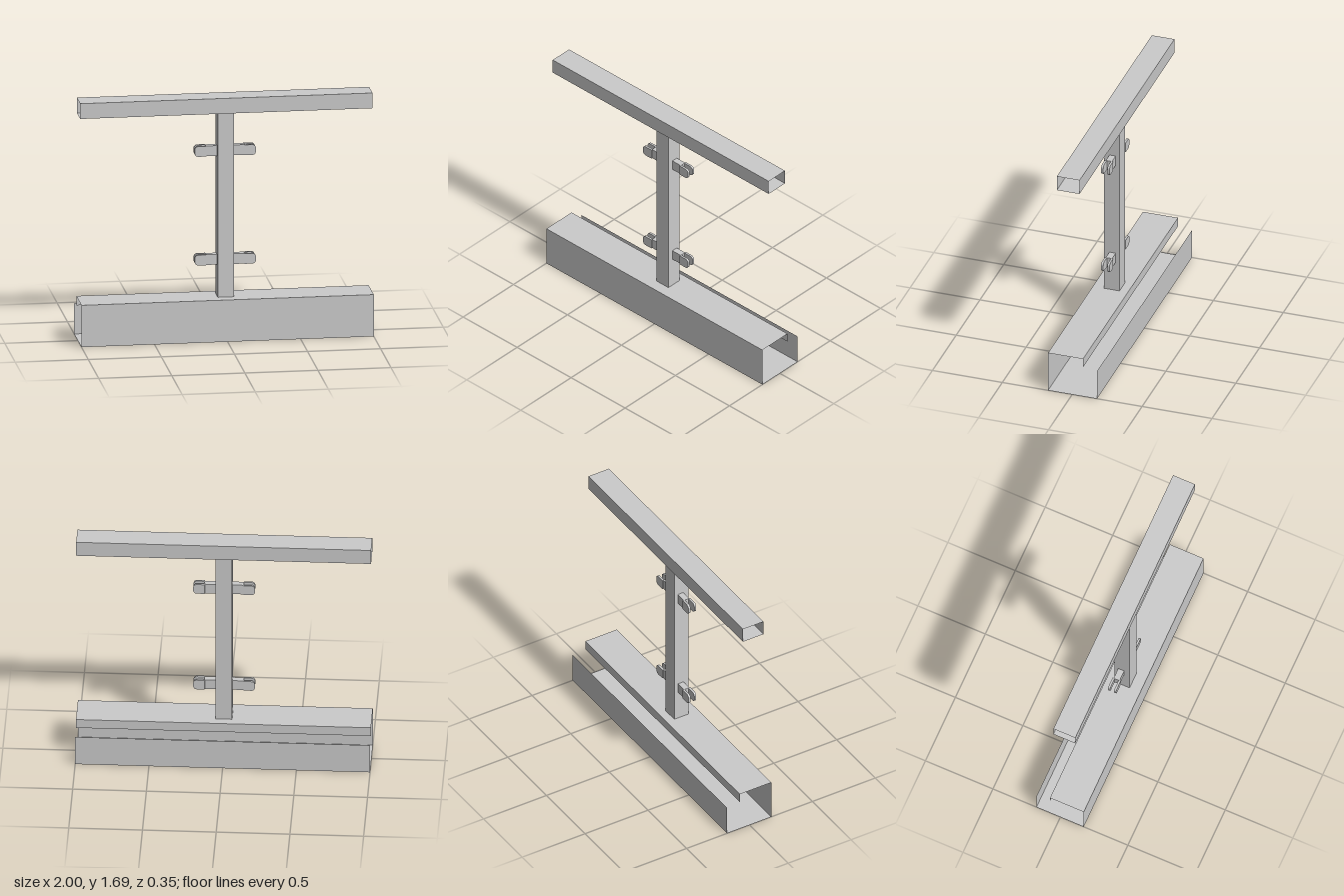
import * as THREE from 'three';

const metal = new THREE.MeshStandardMaterial({ color: 0xcccccc, flatShading: true });
const sheet = new THREE.MeshStandardMaterial({ color: 0xcccccc, flatShading: true, side: THREE.DoubleSide });

// Thin sheet-metal profile: a [z, y] section swept from x = -1 to x = 1
function sheetProfile(name, section) {
  const positions = [];
  for (let i = 0; i < section.length - 1; i++) {
    const [z0, y0] = section[i];
    const [z1, y1] = section[i + 1];
    positions.push(-1, y0, z0, 1, y0, z0, 1, y1, z1);
    positions.push(-1, y0, z0, 1, y1, z1, -1, y1, z1);
  }
  const geometry = new THREE.BufferGeometry();
  geometry.setAttribute('position', new THREE.Float32BufferAttribute(positions, 3));
  geometry.computeVertexNormals();
  const mesh = new THREE.Mesh(geometry, sheet);
  mesh.name = name;
  return mesh;
}

// Box given by its minimum and maximum corners
function box(name, [x0, y0, z0], [x1, y1, z1]) {
  const mesh = new THREE.Mesh(new THREE.BoxGeometry(x1 - x0, y1 - y0, z1 - z0), metal);
  mesh.position.set((x0 + x1) / 2, (y0 + y1) / 2, (z0 + z1) / 2);
  mesh.name = name;
  return mesh;
}

// Jaw plate: square at the base, rounded at the two outer corners
function jawGeometry(length, height, thickness, r) {
  const h = height / 2;
  const shape = new THREE.Shape();
  shape.moveTo(0, -h);
  shape.lineTo(length - r, -h);
  shape.absarc(length - r, -h + r, r, -Math.PI / 2, 0);
  shape.lineTo(length, h - r);
  shape.absarc(length - r, h - r, r, 0, Math.PI / 2);
  shape.lineTo(0, h);
  shape.closePath();
  return new THREE.ExtrudeGeometry(shape, { depth: thickness, bevelEnabled: false, curveSegments: 6 });
}

// Panel clamp pointing along +x: a base block and two jaws with a slot between them
function clamp() {
  const group = new THREE.Group();
  group.name = 'panelClamp';
  group.add(box('clampBase', [0.05, -0.036, -0.022], [0.133, 0.036, 0.022]));
  const geometry = jawGeometry(0.078, 0.072, 0.015, 0.024);
  for (const [name, z] of [['frontJaw', 0.015], ['backJaw', -0.03]]) {
    const jaw = new THREE.Mesh(geometry, metal);
    jaw.position.set(0.131, 0, z);
    jaw.name = name;
    group.add(jaw);
  }
  return group;
}

export function createModel() {
  const model = new THREE.Group();
  model.name = 'railingSection';

  // Closed hollow handrail
  model.add(sheetProfile('handrail', [
    [0.11, 1.583], [0.11, 1.69], [-0.052, 1.69], [-0.052, 1.583], [0.11, 1.583],
  ]));

  // Base channel with an open slot at the upper back and a hanging lip
  model.add(sheetProfile('baseChannel', [
    [-0.177, 0.215], [-0.177, 0], [0.173, 0], [0.173, 0.293], [-0.077, 0.293], [-0.077, 0.227],
  ]));

  // Post with its back cover strip
  model.add(box('post', [-0.056, 0.264, 0], [0.056, 1.62, 0.094]));
  model.add(box('postCover', [-0.056, 0.264, -0.018], [0.056, 1.62, 0]));

  // Two clamps on each side of the post
  for (const y of [0.548, 1.31]) {
    for (const turn of [0, Math.PI]) {
      const part = clamp();
      part.position.set(0, y, 0.032);
      part.rotation.y = turn;
      model.add(part);
    }
  }
  return model;
}
